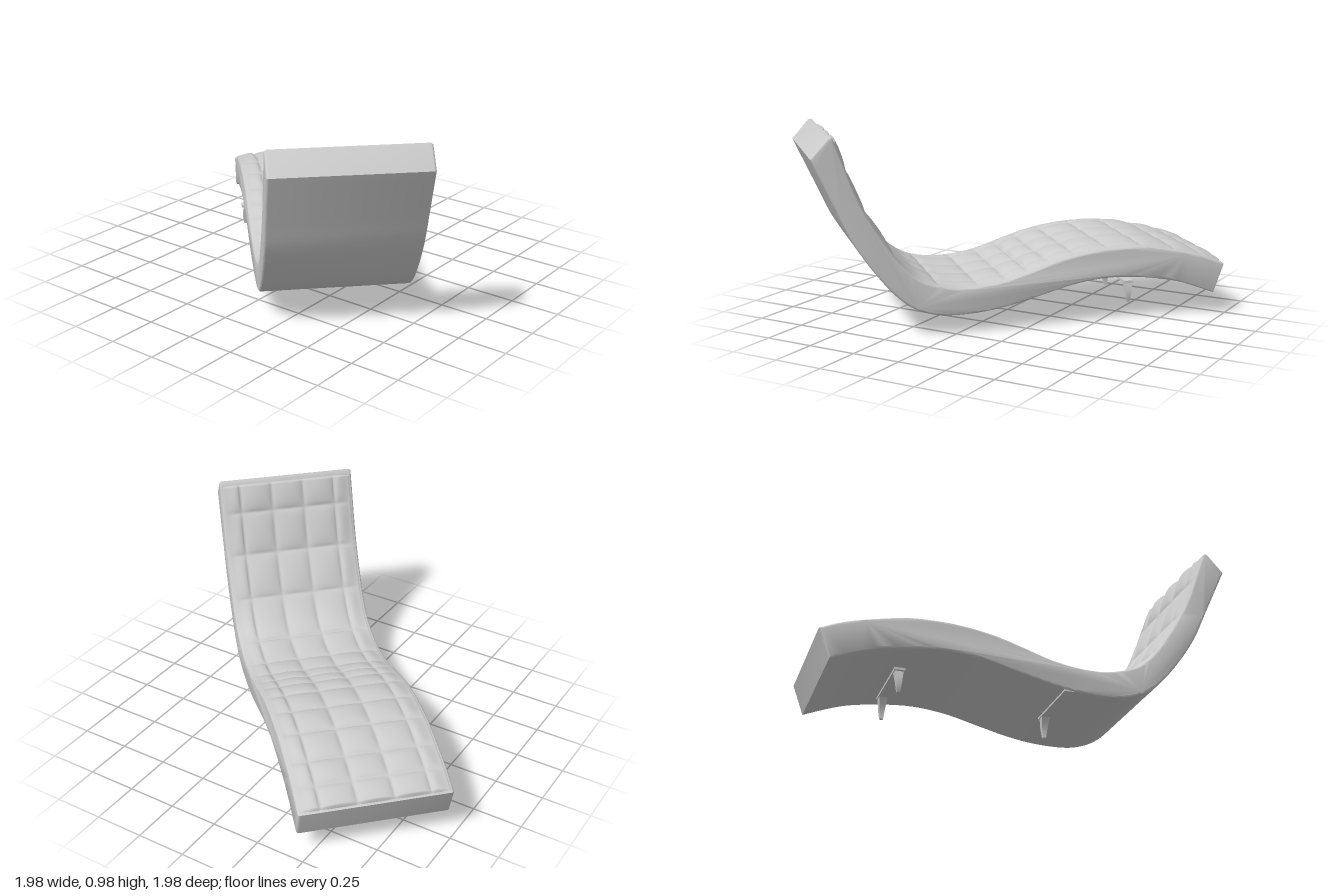
import * as THREE from 'three';
import { toCreasedNormals } from 'three/addons/utils/BufferGeometryUtils.js';

const HALF = 0.368; // half the width of the lounger
const pts = (list) => list.map(([s, y]) => new THREE.Vector2(s, y));

// Side profile, foot end to head end
const TOP = pts([[-1.045, 0.262], [-0.908, 0.315], [-0.653, 0.37], [-0.484, 0.378], [-0.342, 0.368],
  [-0.2, 0.342], [-0.06, 0.3], [0.08, 0.255], [0.223, 0.231], [0.365, 0.231], [0.506, 0.27],
  [0.59, 0.33], [0.665, 0.42], [0.765, 0.577], [0.825, 0.7], [0.882, 0.85], [0.928, 0.972]]);
const HEAD_CORNER = pts([[0.936, 0.982], [0.952, 0.98]]);
const BOTTOM = pts([[-0.99, 0.113], [-0.766, 0.192], [-0.484, 0.228], [-0.27, 0.212], [-0.06, 0.16],
  [0.08, 0.125], [0.223, 0.102], [0.365, 0.096], [0.47, 0.108], [0.57, 0.148], [0.658, 0.222],
  [0.763, 0.35], [0.85, 0.485], [0.918, 0.63], [1.036, 0.885]]);

// Seams of the quilting, along the length and across the width
const ROWS = [-1.05, -0.92, -0.78, -0.6, -0.42, -0.25, -0.12, -0.01, 0.1, 0.24, 0.44, 0.65, 0.78, 0.87, 0.94];
const COLUMNS = [-HALF, -0.262, -0.0875, 0.0875, 0.262, HALF];

// 0 on a seam, 1 in the middle of a cushion
function swell(v, seams) {
  for (let i = 1; i < seams.length; i++) {
    if (v <= seams[i]) {
      const f = (v - seams[i - 1]) / (seams[i] - seams[i - 1]);
      return 1 - (2 * f - 1) ** 2;
    }
  }
  return 0;
}

// Solid wave-shaped body with rounded rims
function bodyGeometry() {
  const shape = new THREE.Shape();
  shape.moveTo(TOP[0].x, TOP[0].y);
  shape.splineThru(TOP.slice(1));
  const under = [...BOTTOM].reverse();
  for (const p of [...HEAD_CORNER, under[0]]) shape.lineTo(p.x, p.y);
  shape.splineThru(under.slice(1));
  const b = 0.012;
  const geo = new THREE.ExtrudeGeometry(shape, {
    depth: 2 * (HALF - b), curveSegments: 5, bevelSize: b, bevelThickness: b, bevelOffset: -b, bevelSegments: 4,
  });
  geo.translate(0, 0, -(HALF - b));
  return toCreasedNormals(geo, 0.7);
}

// Tufted upper surface, raised along the normal of the profile and fading out towards the rim
function quiltGeometry() {
  const curve = new THREE.SplineCurve(TOP);
  const NU = 320, NV = 96, pos = [], index = [];
  for (let i = 0; i <= NU; i++) {
    const u = 0.004 + 0.992 * (i / NU);
    const p = curve.getPointAt(u), t = curve.getTangentAt(u);
    for (let j = 0; j <= NV; j++) {
      const z = (2 * j / NV - 1) * (HALF - 0.008);
      const border = i === 0 || i === NU || j === 0 || j === NV;
      const fade = THREE.MathUtils.smoothstep(HALF - Math.abs(z), 0.005, 0.11);
      const puff = Math.sqrt(Math.max(0, swell(p.x, ROWS) * swell(z, COLUMNS)));
      const h = border ? -0.006 : 0.001 + 0.021 * puff * fade;
      pos.push(p.x - t.y * h, p.y + t.x * h, z);
      if (i < NU && j < NV) {
        const a = i * (NV + 1) + j, c = a + NV + 1;
        index.push(a, a + 1, c, a + 1, c + 1, c);
      }
    }
  }
  const geo = new THREE.BufferGeometry();
  geo.setAttribute('position', new THREE.Float32BufferAttribute(pos, 3));
  geo.setIndex(index);
  geo.computeVertexNormals();
  return geo;
}

// Tapered foot that curves outwards towards dir
function legGeometry(dir) {
  const height = 0.104;
  const geo = new THREE.BoxGeometry(1, 1, 1, 1, 8, 1);
  const p = geo.attributes.position;
  for (let i = 0; i < p.count; i++) {
    const k = THREE.MathUtils.clamp(p.getY(i) + 0.5, 0, 1);
    const size = 0.016 + 0.025 * k;
    const bend = 0.016 * Math.sin((1 - k) * 2.2);
    p.setXYZ(i, p.getX(i) * size, k * height, p.getZ(i) * size + dir * bend);
  }
  return toCreasedNormals(geo, 0.6);
}

export function createModel() {
  const model = new THREE.Group();
  model.name = 'chaiseLounge';
  const grey = new THREE.MeshStandardMaterial({ color: 0xcccccc });

  // The lounger lies diagonally, head towards +x +z
  const lounger = new THREE.Group();
  lounger.name = 'lounger';
  lounger.rotation.y = -Math.PI / 4;
  model.add(lounger);

  const add = (name, geo, x = 0, y = 0, z = 0) => {
    const mesh = new THREE.Mesh(geo, grey);
    mesh.name = name;
    mesh.position.set(x, y, z);
    lounger.add(mesh);
  };

  add('body', bodyGeometry());
  add('quiltedTop', quiltGeometry());

  // Off-centre support bars with their feet
  for (const s of [-0.66, 0.17]) add('supportBar', new THREE.BoxGeometry(0.05, 0.012, 0.39), s, 0.109, 0.165);
  add('footLegInner', legGeometry(-1), -0.66, 0, 0);
  add('footLegOuter', legGeometry(1), -0.66, 0, 0.325);
  add('middleLeg', legGeometry(-1), 0.17, 0, 0);

  return model;
}
